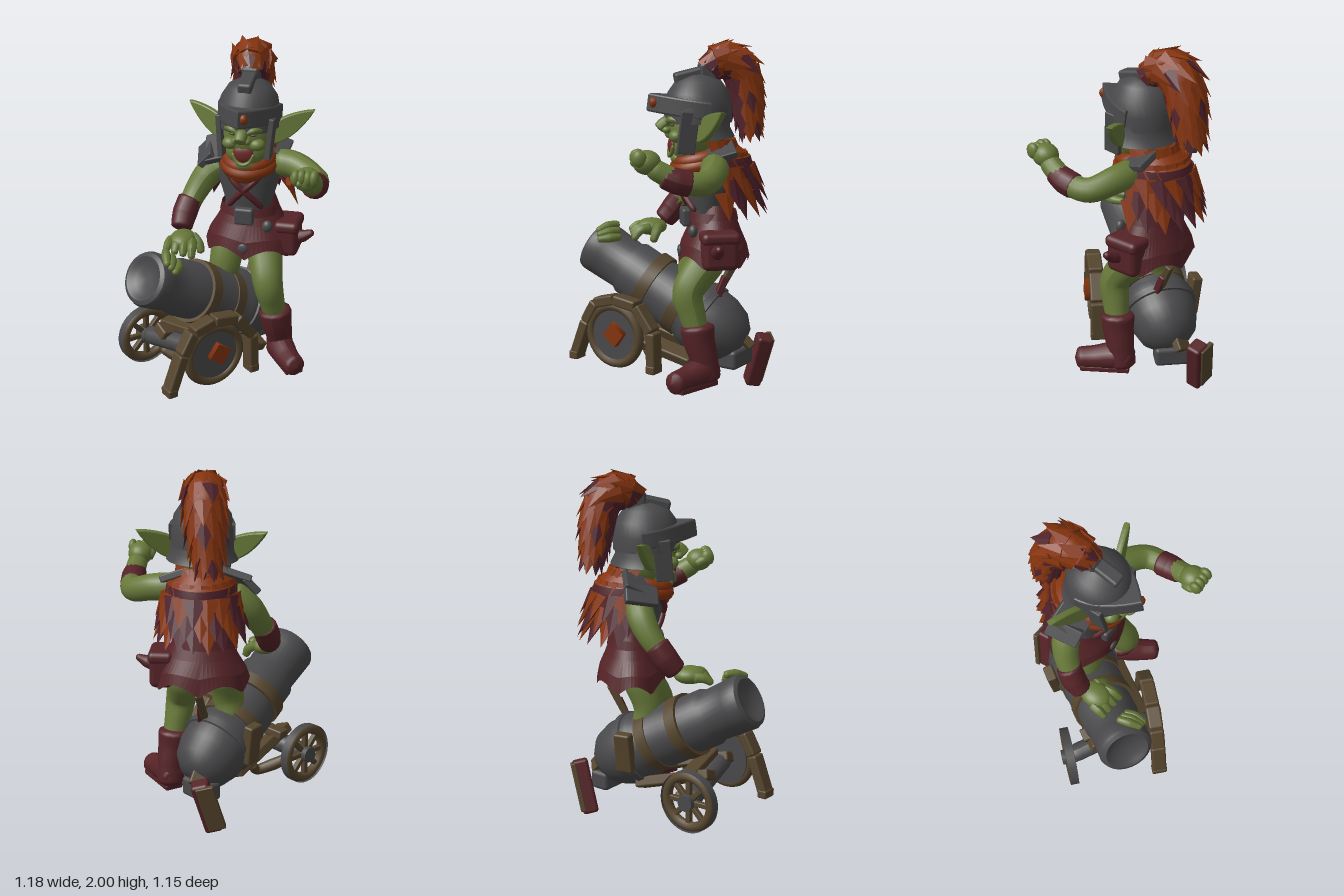
import * as THREE from 'three';
import { toCreasedNormals } from 'three/addons/utils/BufferGeometryUtils.js';
import { RoundedBoxGeometry } from 'three/addons/geometries/RoundedBoxGeometry.js';

const paint = (name, color) => Object.assign(new THREE.MeshStandardMaterial({ color, side: THREE.DoubleSide }), { name });
const V = (a) => new THREE.Vector3(...a);
const UP = [0, 1, 0];

export function createModel() {
  const green = paint('skin green', 0x677839), grey = paint('iron grey', 0x49494b), red = paint('leather red', 0x552327);
  const orange = paint('feather orange', 0x85340e), plum = paint('feather plum', 0x50222b), brown = paint('wood brown', 0x55452d);
  const mouthRed = paint('mouth red', 0x6a2826);
  const model = new THREE.Group();
  let target = model;

  const add = (name, geo, mat, pos = [0, 0, 0]) => {
    const m = new THREE.Mesh(geo, mat);
    m.name = name;
    m.position.set(...pos);
    target.add(m);
    return m;
  };
  // local y follows dir, local z follows normal as closely as possible
  const aim = (obj, dir, normal) => {
    const y = V(dir).normalize(), x = y.clone().cross(V(normal)).normalize();
    obj.quaternion.setFromRotationMatrix(new THREE.Matrix4().makeBasis(x, y, x.clone().cross(y)));
    return obj;
  };
  const ball = (name, mat, pos, r, w = 20) => {
    const m = add(name, new THREE.SphereGeometry(1, w, 14), mat, pos);
    m.scale.set(...r);
    return m;
  };
  const bar = (name, mat, a, b, w, d, normal = [0, 0, 1]) => {
    const A = V(a), B = V(b), dir = B.clone().sub(A);
    const geo = new RoundedBoxGeometry(w, dir.length(), d, 2, Math.min(w, d) * 0.2);
    return aim(add(name, geo, mat, A.add(B).multiplyScalar(0.5).toArray()), dir.toArray(), normal);
  };
  const pick = (list, u) => {
    const f = u * (list.length - 1), i = Math.min(Math.floor(f), list.length - 2);
    return THREE.MathUtils.lerp(list[i], list[i + 1], f - i);
  };
  // round-ended tube with a changing radius
  const limb = (name, mat, pts, radii, seg = 28, sides = 14) => {
    const curve = new THREE.CatmullRomCurve3(pts.map(V)), geo = new THREE.TubeGeometry(curve, seg, 1, sides);
    const p = geo.attributes.position, v = new THREE.Vector3();
    for (let i = 0; i <= seg; i++) {
      const u = i / seg, c = curve.getPointAt(u), e = Math.min(1, Math.min(u, 1 - u) / 0.1);
      const r = pick(radii, u) * Math.sqrt(Math.max(0.0001, 1 - (1 - e) ** 2));
      for (let j = 0; j <= sides; j++) {
        const k = i * (sides + 1) + j;
        v.fromBufferAttribute(p, k).sub(c).multiplyScalar(r).add(c);
        p.setXYZ(k, v.x, v.y, v.z);
      }
    }
    geo.computeVertexNormals();
    return add(name, geo, mat);
  };
  const lathe = (name, mat, prof, pos, start = 0, sweep = Math.PI * 2, seg = 32) =>
    add(name, toCreasedNormals(new THREE.LatheGeometry(prof.map((q) => new THREE.Vector2(...q)), seg, start, sweep), 0.6), mat, pos);
  const part = (name) => {
    target = new THREE.Group();
    target.name = name;
    model.add(target);
    return target;
  };
  const featherGeo = (w, l) => toCreasedNormals(new THREE.ConeGeometry(w, l, 5).scale(1, 1, 0.3).translate(0, l * 0.3, 0), 0.1);

  // Cannon barrel, running from the muzzle down to the breech
  const muzzle = [-0.36, 0.795, 0.41], bore = [0.474, -0.485, -0.735];
  part('cannon');
  const tube = (name, mat, prof) => aim(lathe(name, mat, prof, muzzle), bore, UP);
  tube('barrel', grey, [[0, 0.03], [0.08, 0.026], [0.105, 0.01], [0.125, 0], [0.147, 0.012], [0.157, 0.035], [0.155, 0.1], [0.148, 0.25], [0.165, 0.28],
    [0.165, 0.48], [0.178, 0.52], [0.175, 0.7], [0.197, 0.74], [0.2, 0.8], [0.192, 0.9], [0.16, 0.99], [0.1, 1.05], [0, 1.07]]);
  for (const s of [0.4, 0.62]) tube('barrelBand', brown, [[0.16, s], [0.184, s], [0.184, s + 0.07], [0.16, s + 0.07]]);
  tube('breechCollar', grey, [[0.18, 0.77], [0.21, 0.78], [0.21, 0.82], [0.18, 0.83]]);
  bar('breechBlock', grey, [0.03, 0.2, -0.41], [0.18, 0.2, -0.27], 0.12, 0.11, UP);
  bar('breechBracket', brown, [0.09, 0.33, -0.36], [0.12, 0.25, -0.43], 0.1, 0.05);
  bar('sideBracket', brown, [-0.16, 0.33, -0.26], [-0.18, 0.56, -0.28], 0.06, 0.1, [0.54, 0, -0.84]);
  bar('rammer', brown, [0.08, 0.5, -0.2], [0.12, 0.75, -0.33], 0.04, 0.04);
  bar('fuseHolder', red, [0.11, 0.55, -0.23], [0.11, 0.67, -0.28], 0.045, 0.04);
  bar('supportPost', red, [0.02, 0.01, -0.455], [0.1, 0.31, -0.515], 0.1, 0.09);
  bar('postEdge', brown, [0, 0.03, -0.5], [0.07, 0.3, -0.555], 0.1, 0.03);
  // green prints left on the barrel
  for (const k of [0, 1, 2]) limb('barrelPrint', green, [[-0.27 + k * 0.035, 0.912 - k * 0.03, 0.27], [-0.25 + k * 0.035, 0.912 - k * 0.03, 0.33],
    [-0.22 + k * 0.02, 0.885 - k * 0.02, 0.41]], [0.02, 0.026, 0.018]);

  // Carriage
  part('carriage');
  const axleA = [-0.46, 0.255, 0.06], axleB = [0.01, 0.335, 0.33];
  limb('axle', grey, [axleA, [-0.22, 0.3, 0.2], axleB], [0.055, 0.055, 0.055]);
  bar('axleBeam', brown, [-0.34, 0.36, 0.07], [-0.06, 0.4, 0.24], 0.05, 0.08);
  for (const x of [-0.34, -0.07]) bar('cheekBeam', brown, [x, 0.36, 0.2 + (x + 0.34) * 0.55], [x + 0.27, 0.22, -0.18 + (x + 0.34) * 0.4], 0.06, 0.1);
  limb('skid', brown, [[-0.36, 0.2, 0.1], [-0.26, 0.15, 0.1], [-0.18, 0.13, 0.08], [-0.16, 0.19, 0.02]], [0.03, 0.035, 0.03, 0.025]);
  const ring = (r, t) => new THREE.TorusGeometry(r, t, 10, 36);
  const disc = (r, d, n = 32) => new THREE.CylinderGeometry(r, r, d, n).rotateX(Math.PI / 2);

  // Spoked wheel
  const wheel = part('spokedWheel');
  wheel.position.set(...axleA);
  aim(wheel, UP, [-0.74, -0.08, -0.66]);
  add('rim', ring(0.145, 0.028), brown);
  add('tread', new THREE.CylinderGeometry(0.174, 0.174, 0.05, 36, 1, true).rotateX(Math.PI / 2), grey);
  add('hub', disc(0.045, 0.09), grey);
  for (let i = 0; i < 8; i++) {
    const c = Math.cos(i * Math.PI / 4), s = Math.sin(i * Math.PI / 4);
    bar('spoke', brown, [c * 0.03, s * 0.03, 0], [c * 0.145, s * 0.145, 0], 0.03, 0.03);
  }

  // Solid wheel under a six-sided guard
  const guard = part('guardedWheel');
  guard.position.set(...axleB);
  aim(guard, UP, [0.72, 0.04, 0.69]);
  add('disc', disc(0.16, 0.05), grey);
  add('rim', ring(0.165, 0.028), brown).position.z = 0.01;
  add('diamond', disc(0.07, 0.04, 4), orange, [0.02, 0.01, 0.04]).rotation.z = 0.15;
  const arch = [[-0.28, -0.16], [-0.2, 0.05], [-0.13, 0.17], [0, 0.205], [0.15, 0.185], [0.255, 0.05], [0.26, -0.16]];
  for (let i = 0; i < 6; i++) bar('guardBeam', brown, [...arch[i], 0.0], [...arch[i + 1], 0.0], 0.06, 0.085);
  for (const e of [arch[0], arch[6]]) bar('guardFoot', brown, [e[0] - 0.03, e[1], 0], [e[0] + 0.03, e[1], 0], 0.05, 0.09);

  // Torso armour, straps and belt
  part('torso');
  lathe('breastplate', grey, [[0, 0.98], [0.13, 1], [0.135, 1.08], [0.175, 1.22], [0.18, 1.32], [0.12, 1.4], [0, 1.43]], [0.1, 0, -0.17]).scale.z = 0.8;
  for (const s of [-1, 1]) {
    limb('chestStrap', red, [[0.1 - s * 0.12, 1.31, -0.06], [0.1 - s * 0.05, 1.23, -0.025], [0.1 + s * 0.02, 1.16, -0.035], [0.1 + s * 0.1, 1.06, -0.09]],
      [0.018, 0.018, 0.018]);
  }
  bar('rightShoulderPlate', grey, [0.02, 1.405, -0.17], [-0.15, 1.35, -0.17], 0.04, 0.2, [0, -0.5, 0.87]);
  bar('rightShoulderLip', grey, [-0.11, 1.38, -0.17], [-0.185, 1.3, -0.17], 0.04, 0.19, [0, -0.4, 0.9]);
  bar('leftShoulderPlate', grey, [0.18, 1.42, -0.22], [0.32, 1.37, -0.22], 0.04, 0.16, [0, -0.3, 0.95]);
  limb('neck', green, [[0.11, 1.3, -0.16], [0.11, 1.5, -0.12]], [0.09, 0.085]);
  for (const [r, y] of [[0.115, 1.36], [0.125, 1.325]]) add('scarf', ring(r, 0.04), orange, [0.11, y, -0.125]).rotation.x = Math.PI / 2 + 0.22;
  ball('scarfDrape', orange, [0.1, 1.285, -0.025], [0.09, 0.055, 0.04]);
  // skirt with a hem cut into pointed flaps
  const skirt = lathe('skirt', red, [[0.135, 1.1], [0.165, 1.02], [0.2, 0.95], [0.245, 0.86], [0.265, 0.76]], [0.11, 0, -0.21], 0, Math.PI * 2, 64);
  const sp = skirt.geometry.attributes.position;
  for (let i = 0; i < sp.count; i++) {
    const a = Math.atan2(sp.getX(i), sp.getZ(i)), y = sp.getY(i);
    if (y < 0.9) sp.setY(i, y + Math.abs(Math.sin(a * 3)) * 0.06 * (0.9 - y) / 0.14);
  }
  skirt.geometry.computeVertexNormals();
  skirt.scale.z = 0.74;
  const belt = add('belt', new THREE.CylinderGeometry(0.16, 0.172, 0.05, 32, 1, true), red, [0.1, 1.03, -0.2]);
  belt.scale.z = 0.85;
  add('buckle', new RoundedBoxGeometry(0.11, 0.1, 0.05, 2, 0.015), grey, [0.1, 1.02, -0.05]);
  ball('skirtStud', grey, [0.1, 0.83, -0.018], [0.03, 0.03, 0.012]);
  ball('hips', green, [0.1, 0.88, -0.2], [0.14, 0.1, 0.11]);
  add('hipPouch', new RoundedBoxGeometry(0.13, 0.2, 0.2, 3, 0.035), red, [0.33, 0.865, -0.2]);
  add('pouchFlap', new RoundedBoxGeometry(0.145, 0.07, 0.215, 3, 0.03), red, [0.33, 0.94, -0.2]);
  ball('pouchStud', grey, [0.23, 0.96, -0.07], [0.03, 0.035, 0.025]);
  limb('pouchRag', red, [[0.36, 0.86, -0.18], [0.42, 0.88, -0.17], [0.48, 0.91, -0.17]], [0.04, 0.035, 0.015]);

  // Arms and hands
  part('rightArm');
  limb('arm', green, [[-0.03, 1.3, -0.18], [-0.13, 1.22, -0.17], [-0.2, 1.11, -0.12], [-0.25, 0.96, 0.0]], [0.08, 0.078, 0.064, 0.055]);
  limb('bracer', red, [[-0.22, 1.09, -0.1], [-0.245, 1.0, -0.04], [-0.25, 0.93, 0.02]], [0.07, 0.072, 0.06]);
  ball('palm', green, [-0.22, 0.905, 0.09], [0.075, 0.05, 0.09]);
  for (let i = 0; i < 4; i++) limb('finger', green, [[-0.28 + i * 0.04, 0.905, 0.1], [-0.285 + i * 0.045, 0.9, 0.16], [-0.29 + i * 0.05, 0.87 - i * 0.01, 0.21]],
    [0.028, 0.027, 0.018], 14, 8);
  limb('thumb', green, [[-0.18, 0.92, 0.05], [-0.13, 0.88, 0.08], [-0.11, 0.83, 0.1]], [0.03, 0.028, 0.02], 14, 8);
  part('leftArm');
  limb('arm', green, [[0.23, 1.32, -0.18], [0.37, 1.31, -0.16], [0.5, 1.27, -0.08], [0.52, 1.29, 0.06], [0.505, 1.38, 0.23]], [0.08, 0.075, 0.066, 0.06, 0.055]);
  limb('bracer', red, [[0.515, 1.27, -0.01], [0.52, 1.29, 0.07], [0.515, 1.32, 0.15]], [0.07, 0.07, 0.06]);
  ball('fist', green, [0.5, 1.39, 0.225], [0.07, 0.065, 0.075]);
  for (let i = 0; i < 4; i++) ball('knuckle', green, [0.45 + i * 0.033, 1.41 + (i % 2) * 0.006, 0.27], [0.026, 0.045, 0.04], 10);
  limb('thumb', green, [[0.45, 1.37, 0.2], [0.44, 1.4, 0.25], [0.49, 1.38, 0.3]], [0.026, 0.026, 0.02], 14, 8);

  // Legs and boot
  part('legs');
  limb('leftLeg', green, [[0.16, 0.9, -0.22], [0.2, 0.78, -0.15], [0.245, 0.62, -0.04], [0.265, 0.5, -0.06], [0.29, 0.36, -0.1]], [0.09, 0.105, 0.09, 0.075, 0.06]);
  limb('rightThigh', green, [[0.04, 0.92, -0.22], [-0.01, 0.8, -0.16], [-0.03, 0.66, -0.12], [-0.05, 0.52, -0.16]], [0.09, 0.1, 0.09, 0.07]);
  limb('bootShaft', red, [[0.275, 0.455, -0.085], [0.285, 0.36, -0.095], [0.3, 0.24, -0.125], [0.3, 0.12, -0.14]], [0.1, 0.088, 0.075, 0.08]);
  limb('bootFoot', red, [[0.27, 0.17, -0.2], [0.31, 0.185, -0.11], [0.38, 0.165, 0], [0.45, 0.16, 0.09]], [0.065, 0.08, 0.068, 0.06]);
  bar('bootSole', red, [0.275, 0.118, -0.17], [0.43, 0.118, 0.06], 0.105, 0.03, UP);

  // Head
  part('head');
  ball('skull', green, [0.11, 1.51, -0.1], [0.14, 0.17, 0.15]);
  ball('jaw', green, [0.11, 1.42, -0.05], [0.115, 0.09, 0.085]);
  ball('chin', green, [0.11, 1.352, -0.01], [0.055, 0.035, 0.045]);
  ball('mouth', mouthRed, [0.11, 1.42, 0.028], [0.06, 0.048, 0.02]);
  limb('lowerLip', green, [[0.05, 1.43, 0.03], [0.075, 1.38, 0.036], [0.11, 1.364, 0.04], [0.145, 1.38, 0.036], [0.17, 1.43, 0.03]], [0.01, 0.012, 0.01]);
  limb('nose', green, [[0.11, 1.57, 0.02], [0.108, 1.54, 0.07], [0.105, 1.51, 0.1]], [0.025, 0.036, 0.034]);
  const leaf = new THREE.Shape();
  leaf.moveTo(-0.035, 0);
  leaf.bezierCurveTo(-0.07, 0.08, -0.05, 0.18, 0, 0.29);
  leaf.bezierCurveTo(0.05, 0.18, 0.07, 0.08, 0.035, 0);
  const earGeo = new THREE.ExtrudeGeometry(leaf, { depth: 0.012, bevelSize: 0.008, bevelThickness: 0.012, bevelSegments: 2 });
  for (const s of [-1, 1]) {
    ball('cheek', green, [0.11 + s * 0.075, 1.48, 0.015], [0.045, 0.035, 0.04]);
    ball('nostril', green, [0.106 + s * 0.032, 1.51, 0.06], [0.022, 0.02, 0.025]);
    ball('eye', brown, [0.11 + s * 0.055, 1.54, 0.034], [0.022, 0.009, 0.012]);
    limb('browRidge', green, [[0.11 + s * 0.02, 1.55, 0.05], [0.11 + s * 0.06, 1.57, 0.045], [0.11 + s * 0.11, 1.565, 0]], [0.016, 0.02, 0.014]);
    aim(add('ear', earGeo, green, [0.11 + s * 0.11, 1.485, -0.1]), [s * 0.25, 0.155, -0.1], [s * 0.3, 0.1, 0.95]);
  }

  // Helmet
  part('helmet');
  lathe('dome', grey, [[0.172, 1.55], [0.172, 1.63], [0.157, 1.71], [0.115, 1.775], [0.05, 1.808], [0, 1.81]], [0.11, 0, -0.12]).scale.z = 1.08;
  lathe('neckGuard', grey, [[0.2, 1.47], [0.175, 1.52], [0.172, 1.6]], [0.11, 0, -0.12], Math.PI * 0.55, Math.PI * 0.9);
  const visor = new THREE.Shape();
  visor.moveTo(-0.17, -0.03);
  visor.quadraticCurveTo(-0.16, 0.11, 0, 0.265);
  visor.quadraticCurveTo(0.16, 0.11, 0.17, -0.03);
  const visorGeo = new THREE.ExtrudeGeometry(visor, { depth: 0.08, bevelSize: 0.01, bevelThickness: 0.01, bevelSegments: 2 }).rotateX(Math.PI / 2);
  add('visor', visorGeo, grey, [0.11, 1.665, -0.12]).rotation.x = -0.13;
  ball('jewel', orange, [0.13, 1.66, 0.13], [0.028, 0.03, 0.025], 8);
  bar('ridge', grey, [0.11, 1.82, -0.2], [0.11, 1.77, 0.01], 0.08, 0.09, [0, 0.95, 0.2]);
  add('crestSocket', new RoundedBoxGeometry(0.1, 0.11, 0.1, 2, 0.02), grey, [0.11, 1.815, -0.17]);
  for (const s of [-1, 1]) bar('cheekPlate', grey, [0.11 + s * 0.15, 1.62, -0.05], [0.11 + s * 0.13, 1.39, -0.025], 0.03, 0.1);

  // Plume: tapered core covered with overlapping feathers, darker on the inner side
  part('plume');
  const path = [[0.11, 1.83, -0.18], [0.09, 1.88, -0.24], [0.08, 1.85, -0.34], [0.07, 1.72, -0.39], [0.06, 1.58, -0.41], [0.05, 1.47, -0.43]];
  const radii = [0.055, 0.1, 0.1, 0.09, 0.07, 0.03], curve = new THREE.CatmullRomCurve3(path.map(V));
  limb('plumeCore', orange, path, radii);
  const plumeFeather = featherGeo(0.058, 0.14);
  for (let i = 0; i < 10; i++) {
    const u = 0.04 + i * 0.094, c = curve.getPointAt(u), t = curve.getTangentAt(u);
    for (let j = 0; j < 8; j++) {
      const a = (j + (i % 2) / 2) / 8 * Math.PI * 2, side = new THREE.Vector3(1, 0, 0);
      const out = side.clone().multiplyScalar(Math.cos(a) * 1.2).addScaledVector(side.clone().cross(t), Math.sin(a));
      const pos = c.clone().addScaledVector(out, pick(radii, u) * 0.9), dir = t.clone().addScaledVector(out, 0.2);
      const isPlum = Math.sin(a) < -0.6 || (i * 2 + j * 3) % 6 === 0;
      aim(add('plumeFeather', plumeFeather, isPlum ? plum : orange, pos.toArray()), dir.toArray(), out.toArray());
    }
  }

  // Feather cape over the back
  part('cape');
  lathe('capeBase', plum, [[0.24, 1.13], [0.25, 1.24], [0.22, 1.36]], [0.11, 0, -0.17], Math.PI * 0.56, Math.PI * 0.88).scale.set(0.88, 1, 1.1);
  lathe('capeCollar', orange, [[0.22, 1.36], [0.12, 1.45]], [0.11, 0, -0.17], Math.PI * 0.56, Math.PI * 0.88).scale.set(0.88, 1, 1.1);
  const capeFeather = featherGeo(0.07, 0.16);
  for (let r = 0; r < 5; r++) {
    for (let j = 0; j < 9; j++) {
      const a = Math.PI * (0.57 + 0.86 * (j + (r % 2) / 2) / 8.5), rad = [0.14, 0.2, 0.24, 0.255, 0.255][r];
      const x = Math.sin(a) * 0.88, z = Math.cos(a) * 1.1, isPlum = r > 1 && (r * 2 + j * 3) % 5 < Math.min(r, 3);
      aim(add('capeFeather', capeFeather, isPlum ? plum : orange, [0.11 + x * rad, 1.42 - r * 0.067, -0.17 + z * rad]), [x * 0.35, -0.8, z * 0.42], [x, 0.5, z]);
    }
  }
  return model;
}
